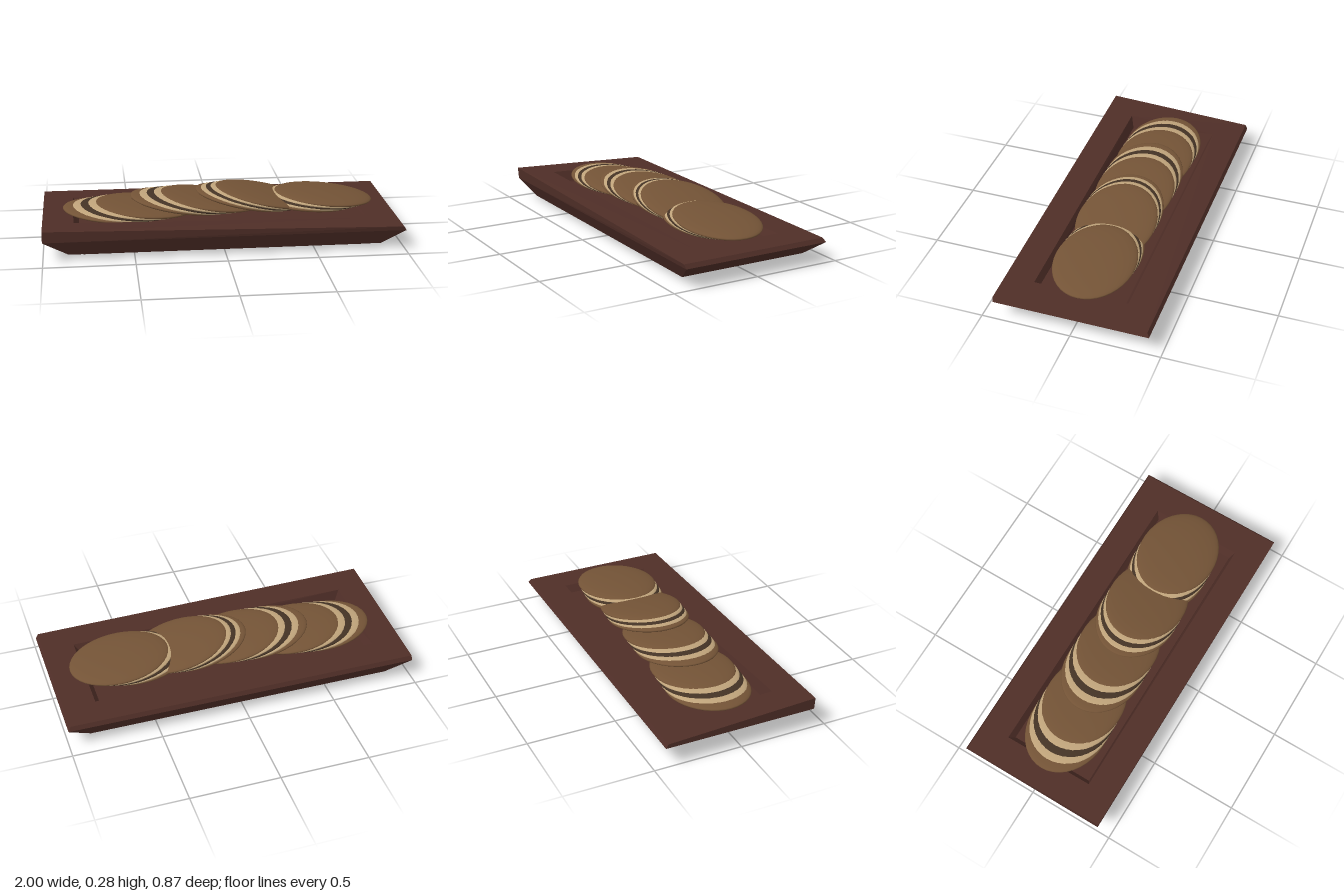
import * as THREE from 'three';

const mat = (color, flatShading = false) => new THREE.MeshStandardMaterial({ color, flatShading });

// Four-cornered ring; y may be a number or a function of x and z
function ring(x0, x1, z0, z1, y) {
  const h = typeof y === 'function' ? y : () => y;
  return [[x0, z1], [x1, z1], [x1, z0], [x0, z0]].map(([x, z]) => [x, h(x, z), z]);
}

// Joins rings in sequence with flat faces and closes both ends
function loft(rings) {
  const p = [];
  const quad = (a, b, c, d) => p.push(...a, ...b, ...c, ...a, ...c, ...d);
  for (let r = 0; r < rings.length - 1; r++) {
    for (let i = 0; i < 4; i++) {
      const j = (i + 1) % 4;
      quad(rings[r][i], rings[r][j], rings[r + 1][j], rings[r + 1][i]);
    }
  }
  const first = rings[0], last = rings[rings.length - 1];
  quad(first[3], first[2], first[1], first[0]);
  quad(...last);
  const g = new THREE.BufferGeometry();
  g.setAttribute('position', new THREE.Float32BufferAttribute(p, 3));
  g.computeVertexNormals();
  return g;
}

export function createModel() {
  const model = new THREE.Group();
  const add = (parent, name, geometry, material) => {
    const mesh = new THREE.Mesh(geometry, material);
    mesh.name = name;
    parent.add(mesh);
    return mesh;
  };
  const wood = mat(0x4f2e27, true);

  // Tray: flared sides, rim rising towards the front right corner, sunken middle
  const rimHeight = (x, z) => 0.138 + 0.042 * ((1 - x) / 2) * ((z + 0.435) / 0.87);
  add(model, 'tray', loft([
    ring(-0.86, 0.87, -0.38, 0.375, 0.025),
    ring(-1, 1, -0.435, 0.43, 0.115),
    ring(-1, 0.985, -0.422, 0.435, rimHeight),
    ring(-0.83, 0.81, -0.26, 0.27, rimHeight),
    ring(-0.8, 0.78, -0.235, 0.25, 0.1),
  ]), wood);

  // Foot: bevelled plinth
  add(model, 'foot', loft([
    ring(-0.78, 0.79, -0.312, 0.31, 0),
    ring(-0.79, 0.8, -0.323, 0.32, 0.01),
    ring(-0.79, 0.8, -0.323, 0.32, 0.026),
  ]), wood);

  // Biscuits: five slipped lens-shaped layers, each leaning on the next
  const lens = new THREE.SphereGeometry(1, 40, 20).scale(0.285, 0.03, 0.225);
  const brown = mat(0x735336), cream = mat(0xbfa37a), dark = mat(0x443325);
  const layers = [
    ['topBiscuit', brown], ['upperCream', cream], ['darkFilling', dark],
    ['lowerCream', cream], ['bottomBiscuit', brown],
  ];
  // x, y of the top layer, tilt in degrees, slip between layers
  const biscuits = [
    [-0.43, 0.167, 5, 0.043],
    [-0.06, 0.197, 9, 0.04],
    [0.26, 0.212, 11.5, 0.027],
    [0.607, 0.2, 5.5, 0.027],
  ];
  biscuits.forEach(([x, y, tilt, slip], n) => {
    const biscuit = new THREE.Group();
    biscuit.name = `biscuit${n + 1}`;
    biscuit.position.set(x, y, -0.004);
    biscuit.rotation.z = -THREE.MathUtils.degToRad(tilt);
    layers.forEach(([name, material], i) => {
      add(biscuit, name, lens, material).position.set(-slip * i, -0.009 * i, 0);
    });
    model.add(biscuit);
  });

  return model;
}
